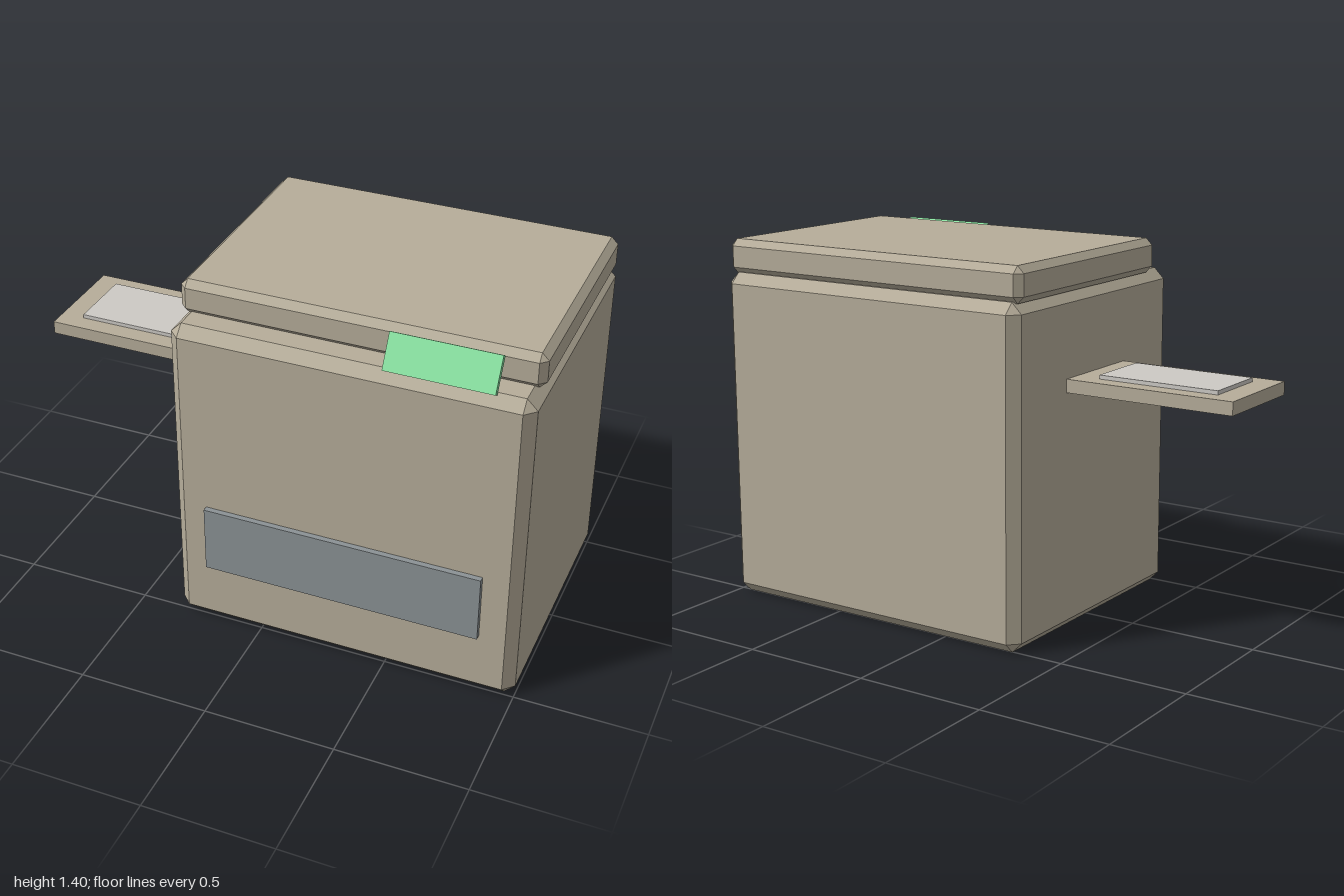
import * as THREE from 'three';
import { ConvexGeometry } from 'three/addons/geometries/ConvexGeometry.js';

const material = (name, color) => {
  const m = new THREE.MeshStandardMaterial({ color });
  m.name = name;
  return m;
};

// Box centred on the origin with every edge and corner cut flat
function chamferedBox(w, h, d, c) {
  const points = [];
  for (const x of [-w / 2, w / 2])
    for (const y of [-h / 2, h / 2])
      for (const z of [-d / 2, d / 2]) {
        const ix = x - Math.sign(x) * c, iy = y - Math.sign(y) * c, iz = z - Math.sign(z) * c;
        points.push(
          new THREE.Vector3(x, iy, iz),
          new THREE.Vector3(ix, y, iz),
          new THREE.Vector3(ix, iy, z));
      }
  return new ConvexGeometry(points);
}

export function createModel() {
  const model = new THREE.Group();
  model.name = 'copier';

  const casing = material('beige casing', 0xb6ad9a);
  const slate = material('slate panel', 0x8b9295);
  const green = material('green display', 0x8ae2a2);
  const sheet = material('paper', 0xcdcac5);

  // Adds a part that fills the given min and max on each axis
  function addPart(name, mat, [x0, x1], [y0, y1], [z0, z1], chamfer = 0) {
    const size = [x1 - x0, y1 - y0, z1 - z0];
    const geometry = chamfer ? chamferedBox(...size, chamfer) : new THREE.BoxGeometry(...size);
    const mesh = new THREE.Mesh(geometry, mat);
    mesh.name = name;
    mesh.position.set((x0 + x1) / 2, (y0 + y1) / 2, (z0 + z1) / 2);
    model.add(mesh);
    return mesh;
  }

  // Cabinet and scanner lid
  addPart('body', casing, [-0.335, 1], [0, 1.27], [-0.543, 0.523], 0.04);
  addPart('lid', casing, [-0.335, 1], [1.263, 1.396], [-0.515, 0.416], 0.026);

  // Paper drawer on the front
  addPart('drawerFront', slate, [-0.205, 0.862], [0.263, 0.528], [0.5, 0.545]);

  // Output tray on the side, with a sheet lying on it
  addPart('tray', casing, [-1, -0.33], [0.905, 0.955], [-0.213, 0.188]);
  addPart('paper', sheet, [-0.908, -0.431], [0.95, 0.97], [-0.146, 0.118]);

  // Control display, leaning back
  const display = addPart('display', green, [0.465, 0.862], [1.262, 1.396], [0.46, 0.484]);
  display.rotation.x = -Math.PI / 6;

  return model;
}
